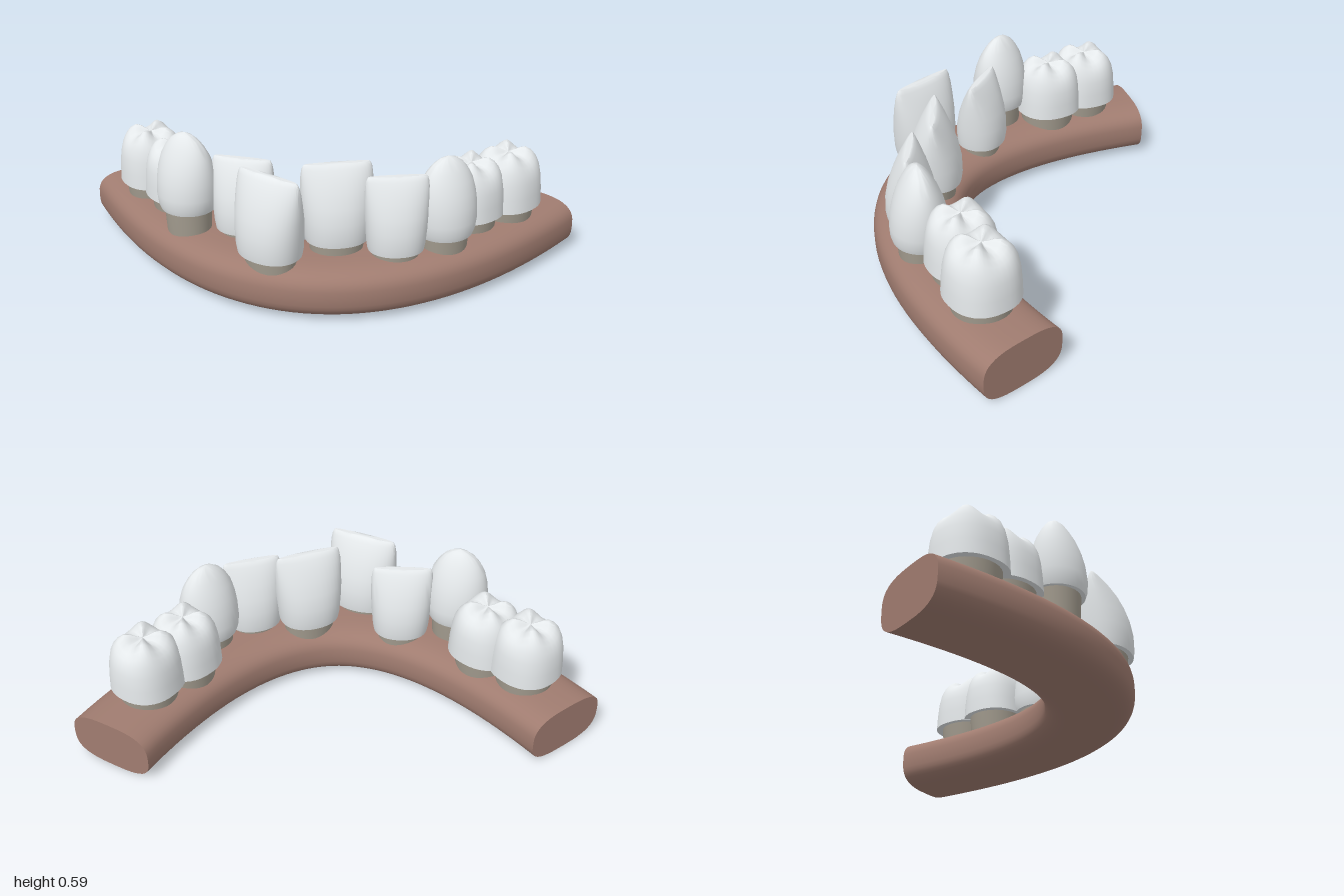
import * as THREE from 'three';
import { toCreasedNormals } from 'three/addons/utils/BufferGeometryUtils.js';

const paint = (color) => new THREE.MeshStandardMaterial({ color });
const gumPaint = paint(0xa07c70);
const rootPaint = paint(0xa39c8f);
const crownPaint = paint(0xe4e8ea);

// Skin a list of closed rings of [x, y, z] points, all of equal length
function loft(rings, crease = 0.65) {
  const n = rings[0].length;
  const index = [];
  for (let i = 0; i < rings.length - 1; i++) {
    for (let j = 0; j < n; j++) {
      const k = (j + 1) % n;
      const a = i * n + j, b = i * n + k, c = a + n, d = b + n;
      index.push(a, c, d, a, d, b);
    }
  }
  const geometry = new THREE.BufferGeometry();
  geometry.setAttribute('position', new THREE.Float32BufferAttribute(rings.flat(2), 3));
  geometry.setIndex(index);
  return toCreasedNormals(geometry, crease);
}

// Superellipse points on the unit square
function oval(power, count) {
  return Array.from({ length: count }, (_, j) => {
    const p = (j / count) * Math.PI * 2;
    const f = (v) => Math.sign(v) * Math.pow(Math.abs(v), 2 / power);
    return [f(Math.cos(p)), f(Math.sin(p)), p];
  });
}

// Crown profiles: [height, width, depth], all as fractions
const PROFILES = {
  incisor: {
    power: 2.2,
    rows: [[0, 0, 0], [0, 0.88, 0.95], [0.1, 0.92, 0.99], [0.3, 0.96, 0.97], [0.5, 0.99, 0.85],
      [0.7, 1, 0.64], [0.85, 0.99, 0.43], [0.94, 0.96, 0.27], [0.985, 0.92, 0.17], [1, 0.88, 0.1], [1, 0, 0]],
  },
  canine: {
    power: 2,
    rows: [[0, 0, 0], [0, 0.88, 0.92], [0.07, 0.95, 0.98], [0.2, 1, 1], [0.4, 0.99, 0.93], [0.55, 0.94, 0.82],
      [0.7, 0.84, 0.66], [0.82, 0.68, 0.48], [0.91, 0.49, 0.32], [0.97, 0.26, 0.16], [1, 0, 0]],
  },
  molar: {
    power: 2.3,
    rows: [[0, 0, 0], [0, 1, 1], [0.25, 0.98, 0.98], [0.5, 0.94, 0.94], [0.7, 0.87, 0.87], [0.84, 0.77, 0.77],
      [0.94, 0.64, 0.64], [1, 0.48, 0.48], [0.99, 0.32, 0.32], [0.94, 0.15, 0.15], [0.91, 0, 0]],
  },
};

function crownGeometry({ kind, a, b, bottom, top }) {
  const { power, rows } = PROFILES[kind];
  const outline = oval(power, 40);
  const h = top - bottom;
  return loft(rows.map(([t, w, d]) => outline.map(([u, v, p]) => {
    // Grooves between the four cusps of a molar
    const groove = kind === 'molar' && t > 0.6
      ? 0.03 * Math.sin(Math.PI * Math.min(1, w)) * (0.5 + 0.5 * Math.cos(4 * p)) : 0;
    return [u * a * w, bottom + t * h - groove, v * b * d];
  })));
}

// Tapered oval neck running down into the gum
function rootGeometry({ kind, a, b, bottom }) {
  const outline = oval(2, 32);
  const s = kind === 'molar' ? 0.86 : 0.78;
  const rows = [[0.1, 0], [0.1, 0.86 * s], [0.17, 0.93 * s], [bottom + 0.01, s], [bottom + 0.01, 0]];
  return loft(rows.map(([y, r]) => outline.map(([u, v]) => [u * a * r, y, v * b * r])));
}

// Gum bar: a rounded section swept along a parabola
function gumGeometry() {
  const bend = 0.889, end = 0.855, steps = 48;
  const outline = oval(3, 40);
  const ring = (x, scale) => {
    const slope = 2 * bend * x;
    const len = Math.hypot(slope, 1);
    return outline.map(([u, v]) => [
      x + (slope / len) * u * 0.172 * scale,
      0.1 + v * 0.1 * scale,
      0.28 - bend * x * x + (1 / len) * u * 0.172 * scale,
    ]);
  };
  const rings = [ring(-end, 0)];
  for (let i = 0; i <= steps; i++) rings.push(ring(-end + (2 * end * i) / steps, 1));
  rings.push(ring(end, 0));
  return loft(rings);
}

// Teeth from the right end of the arch to the left end
const TEETH = [
  { name: 'rightBackMolar', kind: 'molar', x: -0.72, z: -0.185, turn: -0.9, a: 0.135, b: 0.132, bottom: 0.25, top: 0.475 },
  { name: 'rightFrontMolar', kind: 'molar', x: -0.58, z: -0.065, turn: -0.8, a: 0.135, b: 0.13, bottom: 0.25, top: 0.475 },
  { name: 'rightCanine', kind: 'canine', x: -0.495, z: 0.125, turn: -0.4, a: 0.122, b: 0.108, bottom: 0.285, top: 0.592 },
  { name: 'rightLateralIncisor', kind: 'incisor', x: -0.275, z: 0.135, turn: -0.1, a: 0.122, b: 0.098, bottom: 0.22, top: 0.505 },
  { name: 'rightCentralIncisor', kind: 'incisor', x: -0.138, z: 0.335, turn: -0.48, a: 0.142, b: 0.105, bottom: 0.225, top: 0.535 },
  { name: 'leftCentralIncisor', kind: 'incisor', x: 0.092, z: 0.21, turn: 0.3, a: 0.136, b: 0.11, bottom: 0.243, top: 0.542 },
  { name: 'leftLateralIncisor', kind: 'incisor', x: 0.315, z: 0.223, turn: 0.25, a: 0.12, b: 0.098, bottom: 0.222, top: 0.51 },
  { name: 'leftCanine', kind: 'canine', x: 0.49, z: 0.125, turn: 0.6, a: 0.122, b: 0.108, bottom: 0.25, top: 0.558 },
  { name: 'leftFrontMolar', kind: 'molar', x: 0.575, z: -0.062, turn: 0.8, a: 0.13, b: 0.13, bottom: 0.25, top: 0.475 },
  { name: 'leftBackMolar', kind: 'molar', x: 0.715, z: -0.18, turn: 0.9, a: 0.136, b: 0.134, bottom: 0.248, top: 0.476 },
];

export function createModel() {
  const model = new THREE.Group();
  model.name = 'lowerTeeth';
  const add = (parent, name, geometry, material) => {
    const mesh = new THREE.Mesh(geometry, material);
    mesh.name = name;
    parent.add(mesh);
  };
  add(model, 'gum', gumGeometry(), gumPaint);
  for (const tooth of TEETH) {
    const group = new THREE.Group();
    group.name = tooth.name;
    group.position.set(tooth.x, 0, tooth.z);
    group.rotation.y = tooth.turn;
    add(group, 'crown', crownGeometry(tooth), crownPaint);
    add(group, 'root', rootGeometry(tooth), rootPaint);
    model.add(group);
  }
  return model;
}
